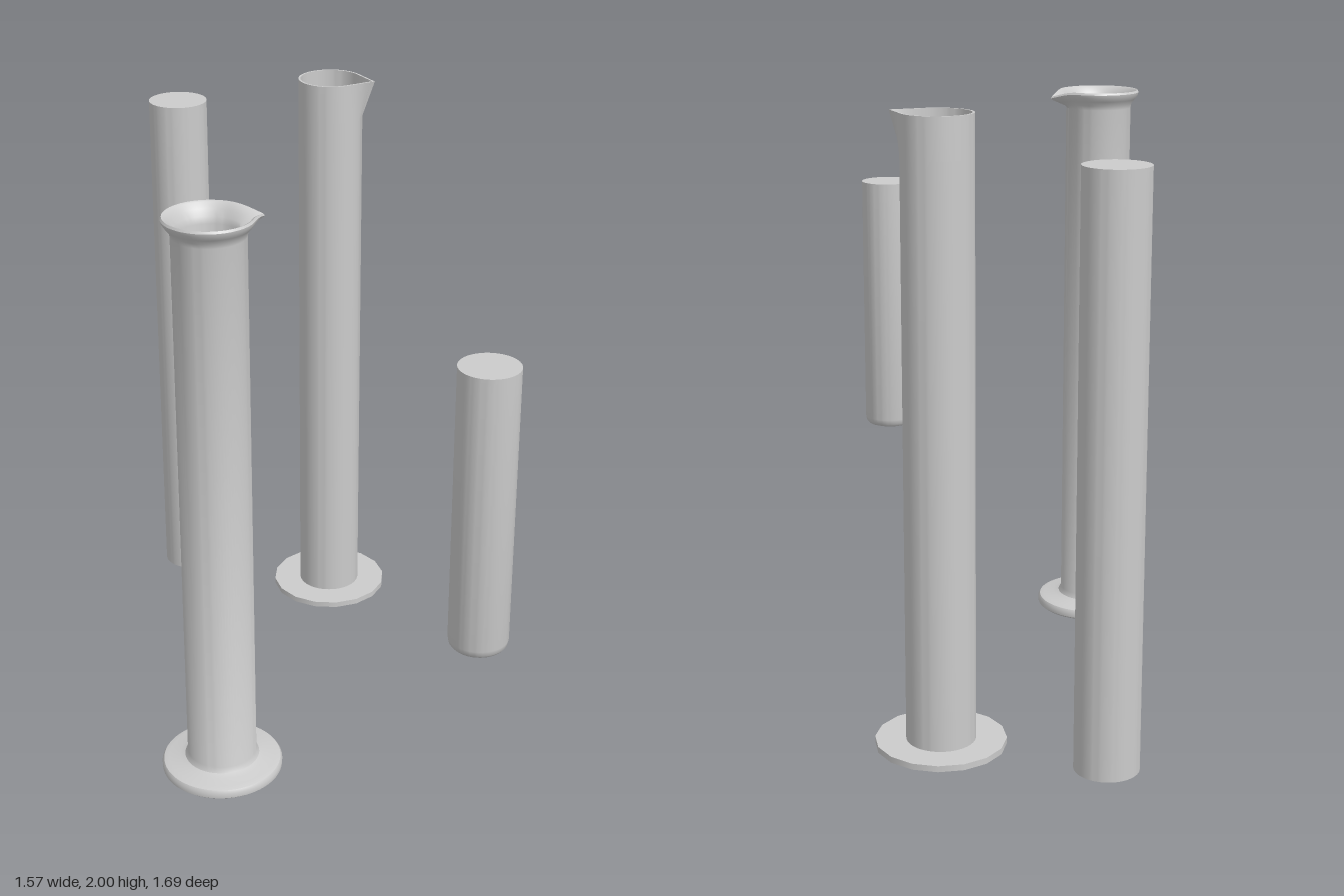
import * as THREE from 'three';
import { toCreasedNormals } from 'three/addons/utils/BufferGeometryUtils.js';

const material = new THREE.MeshStandardMaterial({ color: 0xcccccc });
const SEGMENTS = 72;
const deg = THREE.MathUtils.degToRad;

// Lathed vessel; the optional spout pulls the wall out to two tangents that meet in a tip.
function turned(name, profile, x, z, spout) {
  const points = profile.map(([r, y]) => new THREE.Vector2(r, y));
  const geometry = new THREE.LatheGeometry(points, SEGMENTS);
  if (spout) {
    const pos = geometry.attributes.position;
    for (let i = 0; i < pos.count; i++) {
      const px = pos.getX(i), py = pos.getY(i), pz = pos.getZ(i);
      const turn = Math.atan2(px, pz) - spout.angle;
      const off = Math.abs(Math.atan2(Math.sin(turn), Math.cos(turn)));
      const inside = Math.max(0, spout.width - off);
      const t = THREE.MathUtils.clamp((py - spout.from) / (spout.to - spout.from), 0, 1);
      const k = 1 + t * (1 / Math.cos(inside) - 1);
      const dip = spout.dip * t * (inside / spout.width) ** 2;
      pos.setXYZ(i, px * k, py - dip, pz * k);
    }
  }
  const mesh = new THREE.Mesh(toCreasedNormals(geometry, deg(40)), material);
  mesh.name = name;
  mesh.position.set(x, 0, z);
  return mesh;
}

export function createModel() {
  const model = new THREE.Group();
  model.name = 'measuringCylinders';

  // Tall straight cylinder with a pinched spout on a 16-sided foot
  const tall = new THREE.Group();
  tall.name = 'tallCylinder';
  const foot = new THREE.Mesh(
    toCreasedNormals(new THREE.CylinderGeometry(0.21, 0.21, 0.02, 16), deg(40)), material);
  foot.name = 'tallCylinderFoot';
  foot.position.set(-0.125, 0.01, -0.635);
  tall.add(foot, turned('tallCylinderTube', [
    [0, 0.015], [0.111, 0.015], [0.111, 1.87], [0.111, 2],
    [0.104, 2], [0.104, 1.87], [0.104, 0.025], [0, 0.025],
  ], -0.125, -0.635, { angle: deg(90), width: deg(45), from: 1.87, to: 2, dip: 0 }));
  model.add(tall);

  // Cylinder with a rounded foot, flared rim and poured lip
  model.add(turned('flaredCylinder', [
    [0, 0.022], [0.19, 0.022], [0.197, 0.028], [0.198, 0.045], [0.192, 0.055],
    [0.175, 0.06], [0.14, 0.064], [0.122, 0.071], [0.113, 0.088],
    [0.113, 1.88], [0.116, 1.895], [0.128, 1.91], [0.138, 1.925], [0.14, 1.934], [0.136, 1.941],
    [0.129, 1.938], [0.118, 1.92], [0.105, 1.9], [0.099, 1.88],
    [0.098, 0.1], [0.092, 0.08], [0.075, 0.07], [0, 0.066],
  ], -0.148, 0.645, { angle: deg(130), width: deg(38), from: 1.88, to: 1.935, dip: 0.02 }));

  // Full liquid column
  model.add(turned('tallLiquid',
    [[0, 0.025], [0.102, 0.025], [0.102, 1.88], [0, 1.88]], -0.685, -0.635));

  // Short liquid column with a rounded bottom
  model.add(turned('shortLiquid', [
    [0, 0.627], [0.068, 0.629], [0.083, 0.634], [0.091, 0.644], [0.094, 0.66],
    [0.094, 1.566], [0, 1.566],
  ], 0.688, 0.645));

  return model;
}
